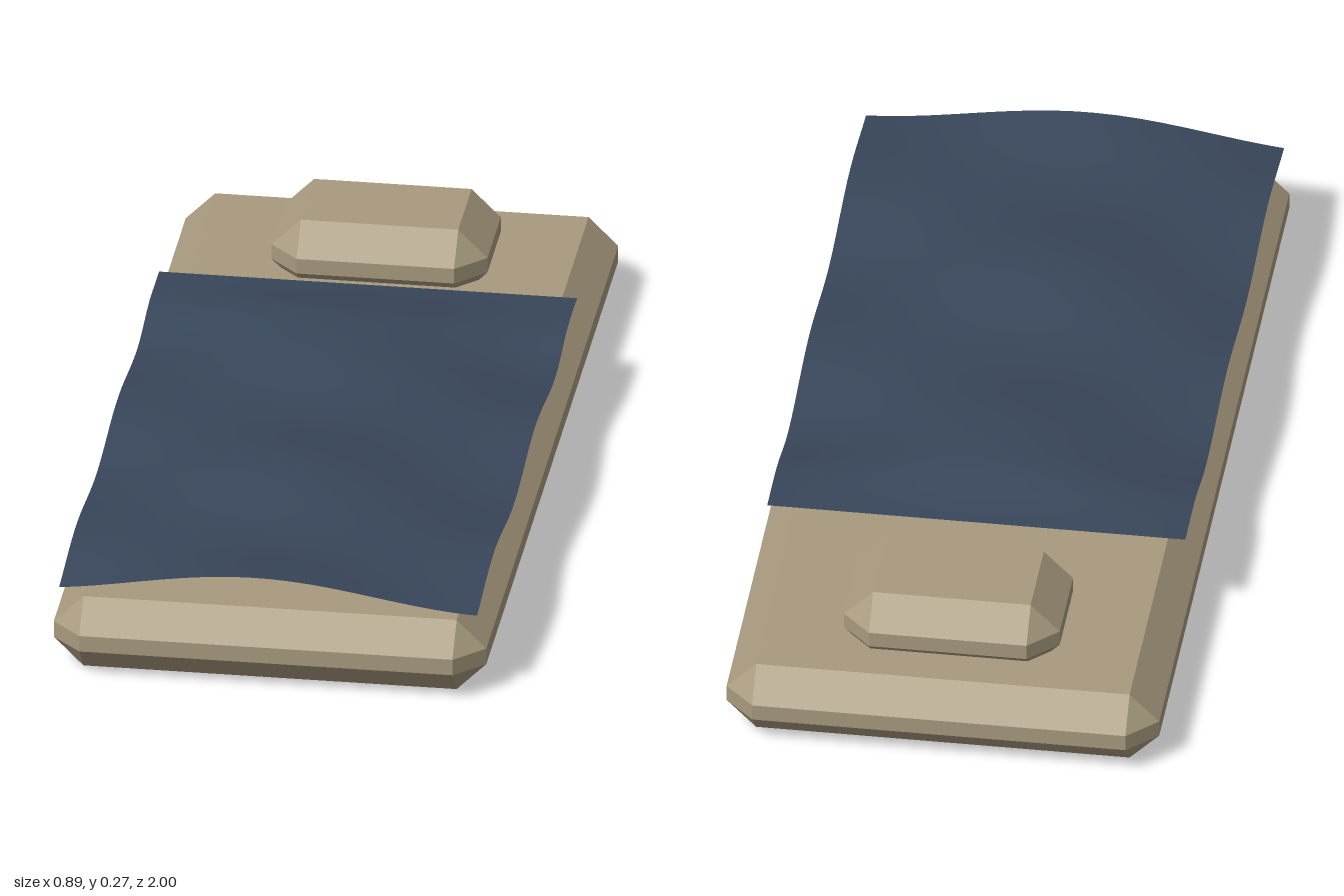
import * as THREE from 'three';
import { ConvexGeometry } from 'three/addons/geometries/ConvexGeometry.js';

// Box with every edge and corner chamfered by c
function chamferedBox(w, h, d, c) {
  const points = [];
  const [x, y, z] = [w / 2, h / 2, d / 2];
  for (const sx of [-1, 1]) for (const sy of [-1, 1]) for (const sz of [-1, 1]) {
    points.push(
      new THREE.Vector3(sx * x, sy * (y - c), sz * (z - c)),
      new THREE.Vector3(sx * (x - c), sy * y, sz * (z - c)),
      new THREE.Vector3(sx * (x - c), sy * (y - c), sz * z),
    );
  }
  return new ConvexGeometry(points);
}

// Height of the rumpled blanket: soft humps across the bed and a raised fold near the pillow
function blanketHeight(x, z) {
  const across = Math.cos(6.3 * (x + 0.03));
  const along = Math.sin(Math.PI * (z - 0.14) / 0.59) ** 2;
  const fold = 0.012 * Math.exp(-(((z + 0.3) / 0.09) ** 2));
  return 0.21 + 0.03 * across * along + fold;
}

export function createModel() {
  const group = new THREE.Group();
  const linen = new THREE.MeshStandardMaterial({ color: 0xa89a7e });
  linen.name = 'linen';
  linen.flatShading = true;
  const cloth = new THREE.MeshStandardMaterial({ color: 0x38465a, side: THREE.DoubleSide });
  cloth.name = 'blueCloth';

  const add = (name, geometry, material, x, y, z) => {
    const mesh = new THREE.Mesh(geometry, material);
    mesh.name = name;
    mesh.position.set(x, y, z);
    group.add(mesh);
  };

  // Mattress and the pillow sunk slightly into it
  add('mattress', chamferedBox(0.89, 0.157, 2, 0.061), linen, 0, 0.0785, 0);
  add('pillow', chamferedBox(0.444, 0.153, 0.31, 0.06), linen, 0, 0.1915, -0.715);

  // Blanket sheet floating over the lower part of the bed
  const sheet = new THREE.PlaneGeometry(0.86, 1.425, 20, 32);
  sheet.rotateX(-Math.PI / 2);
  sheet.translate(0, 0, 0.255);
  const p = sheet.attributes.position;
  for (let i = 0; i < p.count; i++) p.setY(i, blanketHeight(p.getX(i), p.getZ(i)));
  sheet.computeVertexNormals();
  add('blanket', sheet, cloth, 0, 0, 0);

  return group;
}
